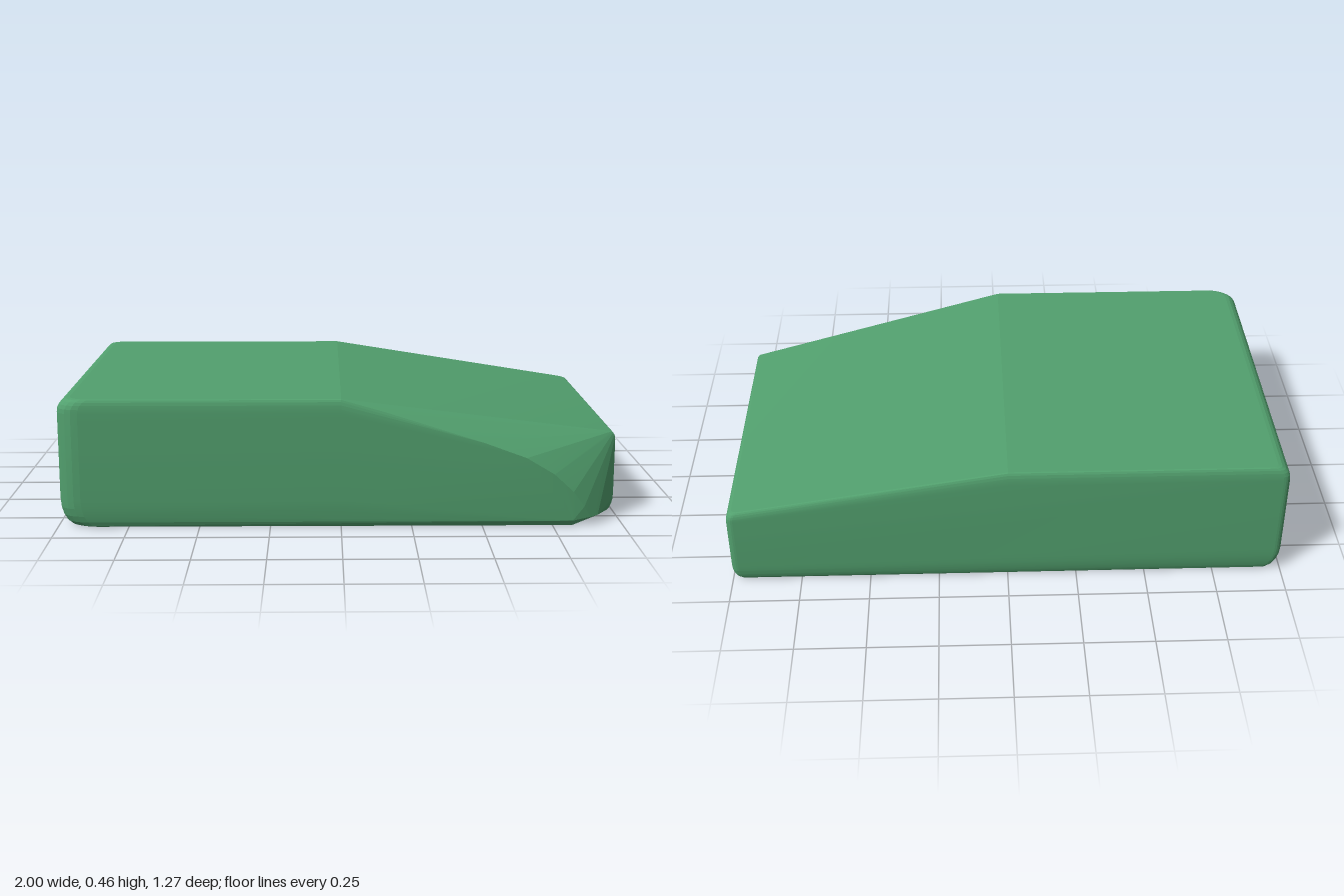
import * as THREE from 'three';
import { ConvexGeometry } from 'three/addons/geometries/ConvexGeometry.js';
import { mergeVertices, toCreasedNormals } from 'three/addons/utils/BufferGeometryUtils.js';

const HEIGHT = 0.46;
const STEPS = 5;

// The top is level on the right half and slopes down on the left half
const topAt = (x) => HEIGHT - 0.16 * Math.max(0, x);

// Outline levels: height plus how far each side is drawn in by the edge rounding
function roundedLevels() {
  const levels = [];
  for (let i = 0; i <= STEPS; i++) {
    const a = (i / STEPS) * Math.PI / 2;
    const k = 1 - Math.sin(a), h = 1 - Math.cos(a);
    levels.push({ y: 0.1 * h, right: 0.055 * k, left: 0.03 * k, z: 0.02 * k });
    levels.push({ y: HEIGHT - 0.05 * h, right: 0.045 * k, left: 0.02 * k, z: 0.014 * k });
  }
  return levels;
}

// Quarter-ellipse corner; sx and sz point outward
function corner(points, x, z, rx, rz, sx, sz, y) {
  for (let i = 0; i <= STEPS; i++) {
    const a = (i / STEPS) * Math.PI / 2;
    const px = x - sx * rx * (1 - Math.cos(a));
    const pz = z - sz * rz * (1 - Math.sin(a));
    points.push(new THREE.Vector3(px, y * topAt(px) / HEIGHT, pz));
  }
}

function bodyGeometry() {
  const points = [];
  for (const { y, right, left, z } of roundedLevels()) {
    const back = -0.638 + z, front = 0.636 - z;
    corner(points, -0.995 + right, front, 0.08, 0.06, -1, 1, y);
    corner(points, -0.995 + right, back, 0.025, 0.02, -1, -1, y);
    corner(points, 1 - left, back, 0.025, 0.02, 1, -1, y);
    // Ridge where the slope begins, and the end of the side face at the cut
    points.push(new THREE.Vector3(0, y, back), new THREE.Vector3(0, y, front));
    points.push(new THREE.Vector3(1 - left, y * topAt(1) / HEIGHT, 0.43));
  }
  // Curved lower border of the cut-away front left corner
  const border = [
    [0.15, 0.415, 0.628], [0.3, 0.365, 0.632], [0.5, 0.305, 0.635], [0.65, 0.25, 0.636],
    [0.75, 0.19, 0.634], [0.82, 0.125, 0.63], [0.86, 0.07, 0.625], [0.885, 0.03, 0.615],
    [0.915, 0.03, 0.59], [0.82, 0.02, 0.63], [0.82, 0, 0.616],
  ];
  for (const p of border) points.push(new THREE.Vector3(...p));

  const hull = new ConvexGeometry(points);
  hull.deleteAttribute('normal');
  return toCreasedNormals(mergeVertices(hull, 1e-4), 0.1);
}

export function createModel() {
  const group = new THREE.Group();
  group.name = 'wedgeBlock';
  const body = new THREE.Mesh(bodyGeometry(), new THREE.MeshStandardMaterial({ color: 0x52a06e }));
  body.name = 'body';
  group.add(body);
  return group;
}
